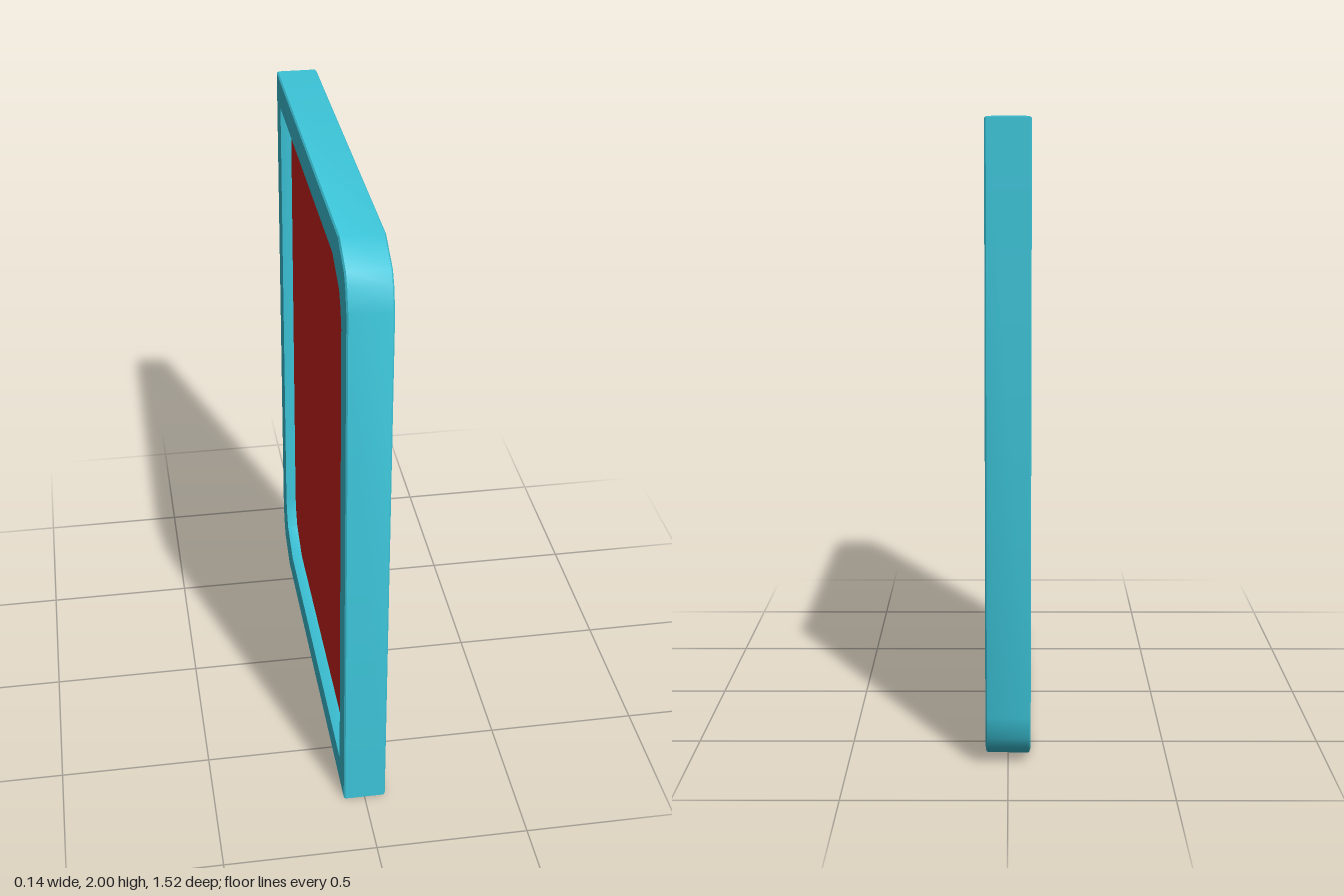
import * as THREE from 'three';
import { toCreasedNormals } from 'three/addons/utils/BufferGeometryUtils.js';

// Half outlines as [z, y]; the other half is the same turned 180 degrees about the middle.
const OUTER = [[-0.6, 0], [0.76, 0], [0.76, 1.83], [0.737, 1.905], [0.714, 1.942]];
const INNER = [[-0.5, 0.1], [0.667, 0.1], [0.667, 1.735], [0.651, 1.795], [0.625, 1.842]];
const fullLoop = (half) => [...half, ...half.map(([z, y]) => [-z, 2 - y])];
const outer = fullLoop(OUTER);
const inner = fullLoop(INNER);

// Outline between the outer edge (t = 0) and the opening (t = 1)
const outlineAt = (t) => outer.map(([z, y], i) => [
  z + (inner[i][0] - z) * t,
  y + (inner[i][1] - y) * t,
]);

// Frame section as [x, t]: chamfered outside, slightly sloped reveal inside
const SECTION = [
  [-0.065, 0], [0.065, 0], [0.07, 0.05], [0.07, 1],
  [0.035, 1.13], [-0.035, 1.13], [-0.07, 1], [-0.07, 0.05],
];

function frameGeometry() {
  const n = outer.length;
  const m = SECTION.length;
  const positions = [];
  const index = [];
  for (const [x, t] of SECTION) {
    for (const [z, y] of outlineAt(t)) positions.push(x, y, z);
  }
  for (let j = 0; j < m; j++) {
    for (let i = 0; i < n; i++) {
      const a = j * n + i;
      const b = j * n + ((i + 1) % n);
      const d = ((j + 1) % m) * n + i;
      const c = ((j + 1) % m) * n + ((i + 1) % n);
      index.push(a, d, b, b, d, c);
    }
  }
  const g = new THREE.BufferGeometry();
  g.setAttribute('position', new THREE.Float32BufferAttribute(positions, 3));
  g.setIndex(index);
  return toCreasedNormals(g, 0.65);
}

function panelGeometry() {
  // Drawn in (-z, y), then turned so the thickness runs along x
  const shape = new THREE.Shape(outlineAt(1.13).map(([z, y]) => new THREE.Vector2(-z, y)));
  const g = new THREE.ExtrudeGeometry(shape, { depth: 0.07, bevelEnabled: false });
  g.translate(0, 0, -0.035);
  g.rotateY(Math.PI / 2);
  return g;
}

export function createModel() {
  const model = new THREE.Group();
  model.name = 'framedPanel';

  const frame = new THREE.Mesh(frameGeometry(), new THREE.MeshStandardMaterial({ color: 0x3cc4d8 }));
  frame.name = 'frame';

  const panel = new THREE.Mesh(panelGeometry(), new THREE.MeshStandardMaterial({ color: 0xd22420 }));
  panel.name = 'panel';

  model.add(frame, panel);
  return model;
}
